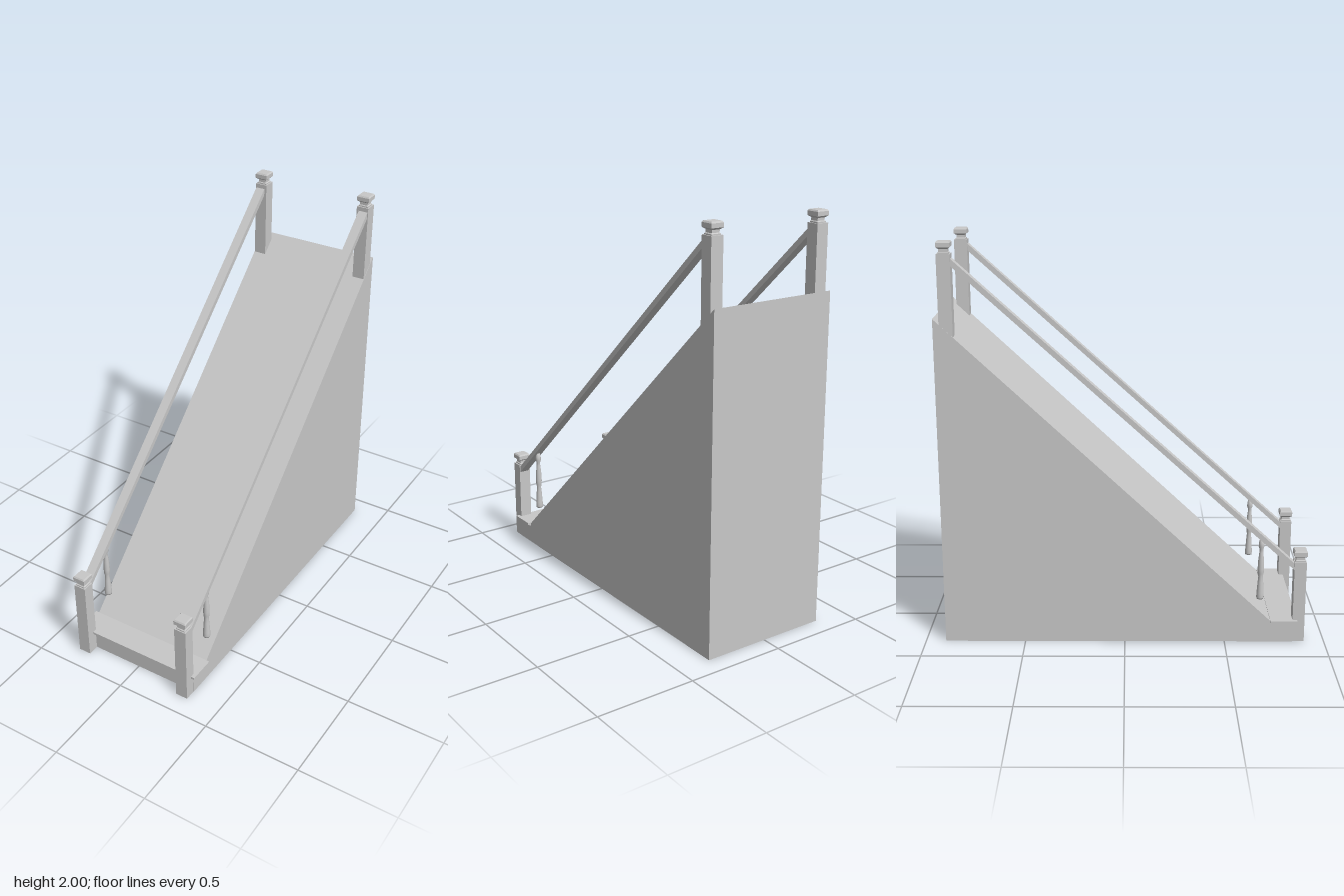
import * as THREE from 'three';

const grey = new THREE.MeshStandardMaterial({ color: 0xc8c8c8 });
grey.name = 'plain grey';

export function createModel() {
  const model = new THREE.Group();
  model.name = 'staircase';

  const add = (geometry, name, x = 0, y = 0, z = 0) => {
    const mesh = new THREE.Mesh(geometry, grey);
    mesh.name = name;
    mesh.position.set(x, y, z);
    model.add(mesh);
    return mesh;
  };
  const box = (name, w, y0, y1, z0, z1, x = 0) =>
    add(new THREE.BoxGeometry(w, y1 - y0, z1 - z0), name, x, (y0 + y1) / 2, (z0 + z1) / 2);

  // Extrudes a side outline of [z, y] points across x, centred on x = 0
  const sideExtrude = (points, width) => {
    const shape = new THREE.Shape(points.map(([z, y]) => new THREE.Vector2(-z, y)));
    const g = new THREE.ExtrudeGeometry(shape, { depth: width, bevelEnabled: false });
    g.translate(0, 0, -width / 2);
    g.rotateY(Math.PI / 2);
    return g;
  };

  // Square turned solid: profile of [half width, y]
  const squareTurned = (profile) => {
    const pts = profile.map(([r, y]) => new THREE.Vector2(r * Math.SQRT2, y));
    const g = new THREE.LatheGeometry(pts, 4, Math.PI / 4).toNonIndexed();
    g.computeVertexNormals();
    return g;
  };

  // Sloping body and bottom step
  add(sideExtrude([[0.73, 0], [0.73, 0.11], [-0.9, 1.64], [-0.9, 0]], 0.66), 'ramp');
  box('stepRiser', 0.66, 0, 0.102, 0.73, 0.842);
  box('treadMoulding', 0.676, 0.098, 0.105, 0.73, 0.853);
  box('stepTread', 0.695, 0.104, 0.116, 0.728, 0.863);

  // Newel post cap: neck, flared underside and chamfered block
  const cap = squareTurned([
    [0, 0], [0.025, 0], [0.025, 0.007], [0.021, 0.011], [0.021, 0.024], [0.027, 0.028],
    [0.033, 0.033], [0.033, 0.053], [0.028, 0.06], [0, 0.06],
  ]);

  // Turned baluster
  const balusterProfile = [
    [0, 0], [0.017, 0], [0.019, 0.008], [0.018, 0.03], [0.014, 0.09], [0.011, 0.12],
    [0.015, 0.135], [0.016, 0.16], [0.014, 0.21], [0.01, 0.245], [0.009, 0.262],
    [0.014, 0.275], [0.014, 0.295], [0.008, 0.318], [0, 0.318],
  ].map(([r, y]) => new THREE.Vector2(r, y));
  const baluster = new THREE.LatheGeometry(balusterProfile, 16);

  const rail = sideExtrude([[0.85, 0.374], [0.85, 0.407], [-0.815, 1.928], [-0.815, 1.893]], 0.048);

  // Posts, rail and baluster on both sides
  for (const [side, s] of [['left', 1], ['right', -1]]) {
    const x = 0.296 * s;
    box(side + 'FrontPost', 0.064, 0, 0.423, 0.84, 0.9, x);
    add(cap, side + 'FrontPostCap', x, 0.422, 0.87);
    box(side + 'RearPost', 0.064, 1.5, 1.941, -0.871, -0.806, x);
    add(cap, side + 'RearPostCap', x, 1.94, -0.838);
    add(rail, side + 'Handrail', 0.3 * s);
    add(baluster, side + 'Baluster', 0.3 * s, 0.222, 0.676);
  }
  return model;
}
